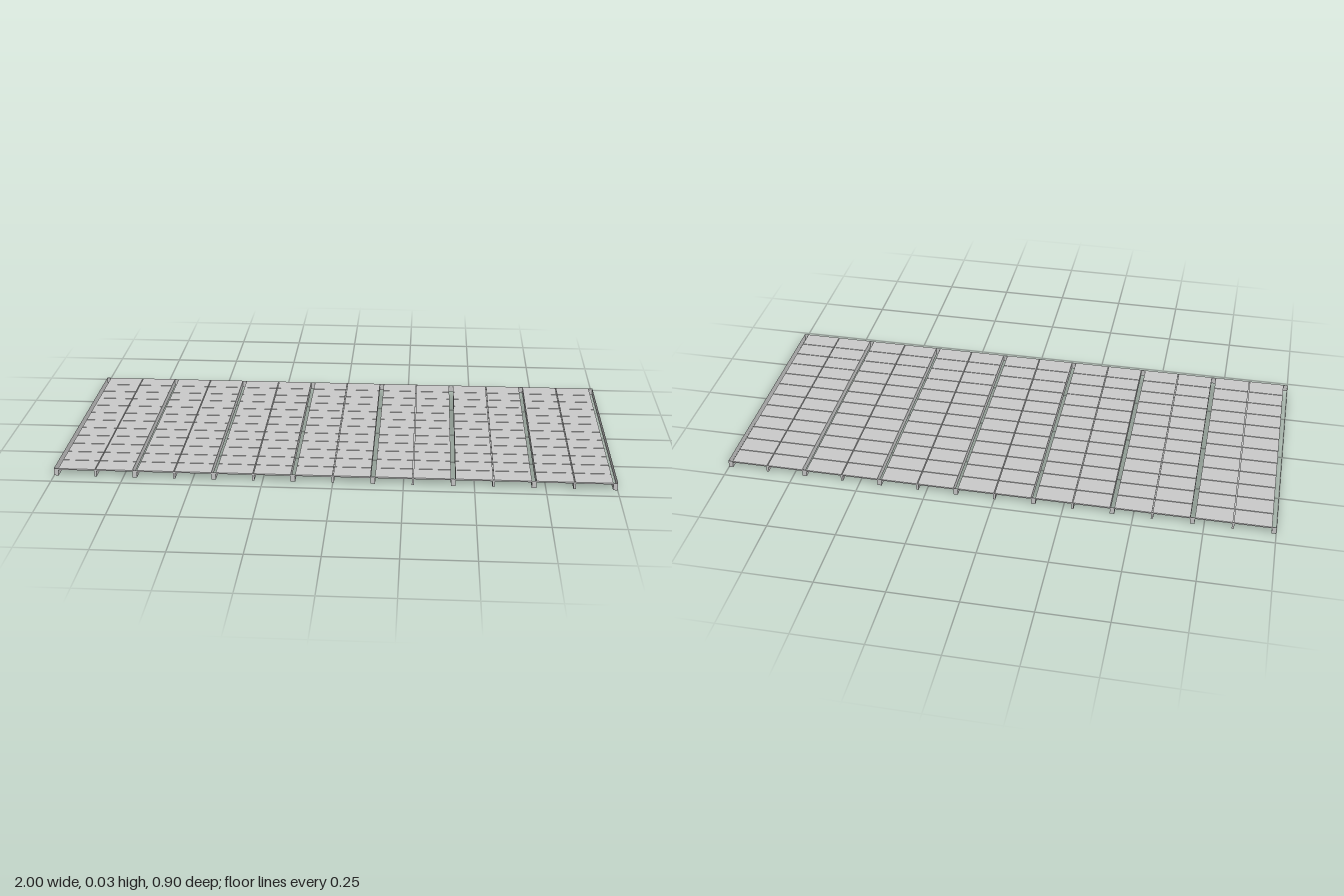
import * as THREE from 'three';

const LENGTH = 0.9, HEIGHT = 0.027, BOARD = 0.005, EDGE = 0.002;
const BAYS = 7, RAIL = 0.016, PITCH = (2 - RAIL) / BAYS;
const ROWS = 12, GAP = 0.003;

export function createModel() {
  const model = new THREE.Group();
  model.name = 'slattedDeck';
  const material = new THREE.MeshStandardMaterial({ color: 0xcccccc });
  const openMaterial = new THREE.MeshStandardMaterial({ color: 0xcccccc, side: THREE.DoubleSide });

  const add = (geometry, name, x, y, z, surface = material) => {
    const mesh = new THREE.Mesh(geometry, surface);
    mesh.name = name;
    mesh.position.set(x, y, z);
    model.add(mesh);
  };

  // Box without its top and bottom: a hollow rail, open above and below
  const railGeometry = new THREE.BoxGeometry(RAIL, HEIGHT, LENGTH);
  const index = Array.from(railGeometry.index.array);
  railGeometry.setIndex([...index.slice(0, 12), ...index.slice(24)]);
  railGeometry.clearGroups();

  // Rails between the bays and along both ends
  for (let i = 0; i <= BAYS; i++) {
    add(railGeometry, 'rail', (i - BAYS / 2) * PITCH, HEIGHT / 2, 0, openMaterial);
  }

  // Thin edging along the front and back of the boards
  const edgeGeometry = new THREE.BoxGeometry(2, BOARD, EDGE);
  for (const side of [-1, 1]) {
    add(edgeGeometry, 'edging', 0, HEIGHT - BOARD / 2, side * (LENGTH - EDGE) / 2);
  }

  // Each bay: two columns of boards resting on a middle joist
  const half = (PITCH - RAIL) / 2;
  const depth = (LENGTH - 2 * EDGE + GAP) / ROWS;
  const boardGeometry = new THREE.BoxGeometry(half - GAP / 2, BOARD, depth - GAP);
  const joistHeight = HEIGHT - BOARD;
  const joistGeometry = new THREE.BoxGeometry(0.008, joistHeight, LENGTH);
  for (let i = 0; i < BAYS; i++) {
    const x = (i - (BAYS - 1) / 2) * PITCH;
    add(joistGeometry, 'middleJoist', x, joistHeight / 2, 0);
    for (let r = 0; r < ROWS; r++) {
      const z = (r - (ROWS - 1) / 2) * depth;
      for (const side of [-1, 1]) {
        add(boardGeometry, 'board', x + side * (half / 2 + GAP / 4), HEIGHT - BOARD / 2, z);
      }
    }
  }
  return model;
}
